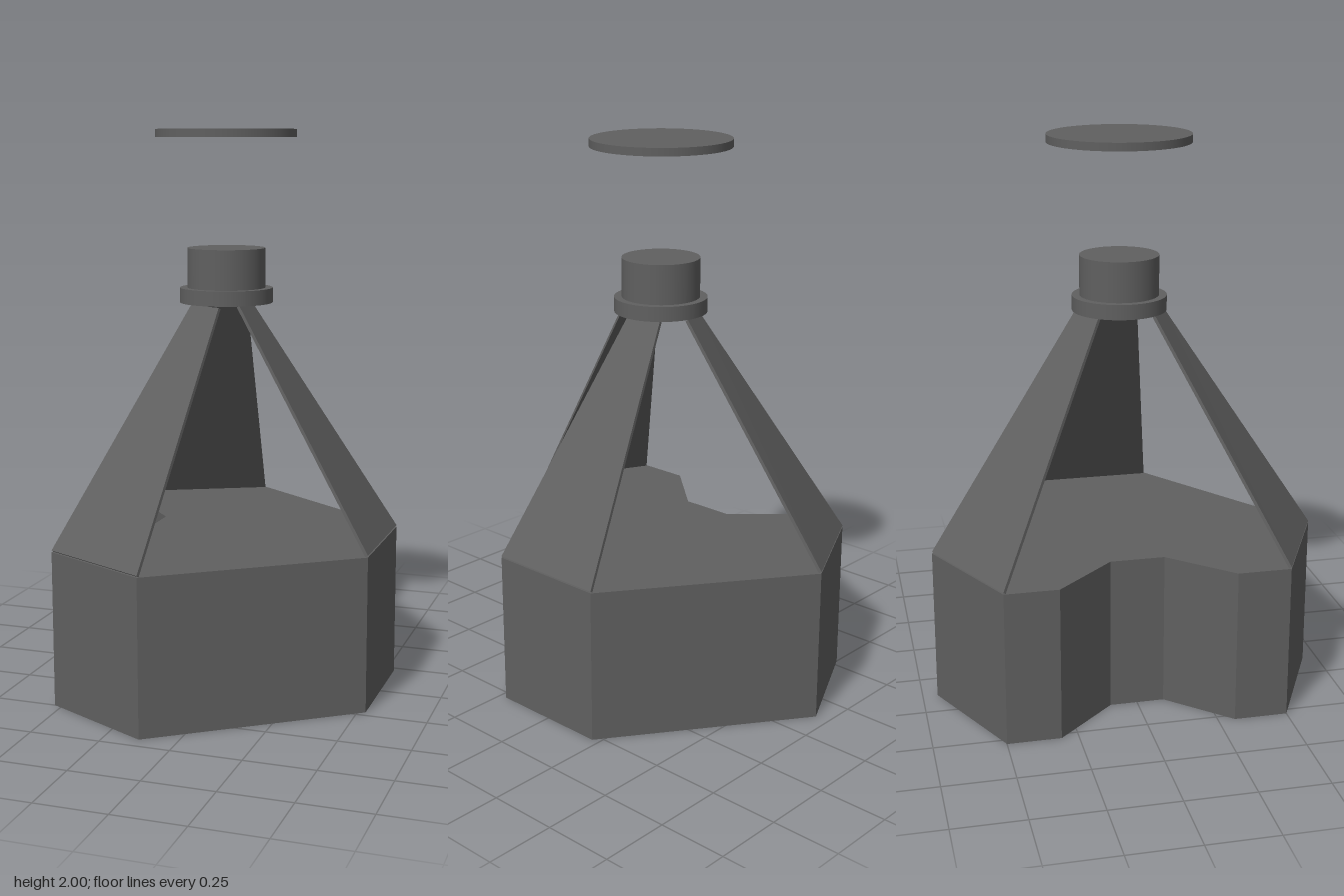
import * as THREE from 'three';

const material = new THREE.MeshStandardMaterial({ color: 0x606060, flatShading: true });
const smooth = new THREE.MeshStandardMaterial({ color: 0x606060 });

// Thin slab from an outer quad (bottom a, b; top c, d; seen from outside counter-clockwise)
function slab(corners, thickness) {
  const outer = corners.map((p) => new THREE.Vector3(...p));
  const normal = outer[1].clone().sub(outer[0]).cross(outer[3].clone().sub(outer[0])).normalize();
  const inner = outer.map((p) => p.clone().addScaledVector(normal, -thickness));
  const index = [0, 1, 2, 0, 2, 3, 4, 6, 5, 4, 7, 6];
  for (let i = 0; i < 4; i++) {
    const j = (i + 1) % 4;
    index.push(i, i + 4, j + 4, i, j + 4, j);
  }
  const geometry = new THREE.BufferGeometry().setFromPoints([...outer, ...inner]);
  geometry.setIndex(index);
  const flat = geometry.toNonIndexed();
  flat.computeVertexNormals();
  return flat;
}

export function createModel() {
  const group = new THREE.Group();
  const add = (name, geometry, mat = material) => {
    const mesh = new THREE.Mesh(geometry, mat);
    mesh.name = name;
    group.add(mesh);
    return mesh;
  };

  // Faceted base with a notch on the right side, half outline mirrored in z
  const half = [[0.528, 0.222], [-0.13, 0.697], [-0.528, 0.5], [-0.528, 0.31], [-0.335, 0.097]];
  const outline = [...half.map(([x, z]) => [x, -z]), ...half.slice().reverse()];
  const shape = new THREE.Shape(outline.map(([x, z]) => new THREE.Vector2(x, -z)));
  const base = new THREE.ExtrudeGeometry(shape, { depth: 0.557, bevelEnabled: false });
  base.rotateX(-Math.PI / 2);
  add('base', base);

  // Three tapering panels leaning in from the base edges to the collar
  const low = 0.563, high = 1.387, thickness = 0.011;
  add('leftPanel', slab([
    [0.528, low, 0.222], [0.528, low, -0.222], [0.015, high, -0.073], [0.015, high, 0.073],
  ], thickness));
  add('frontPanel', slab([
    [-0.528, low, 0.5], [-0.13, low, 0.697], [-0.033, high, 0.156], [-0.157, high, 0.098],
  ], thickness));
  add('backPanel', slab([
    [-0.13, low, -0.697], [-0.528, low, -0.5], [-0.157, high, -0.1], [-0.033, high, -0.158],
  ], thickness));

  // Collar, neck and the disc floating above
  const rounds = [
    ['collar', 0.166, 1.391, 1.444],
    ['neck', 0.139, 1.444, 1.585],
    ['floatingDisc', 0.249, 1.972, 2],
  ];
  for (const [name, radius, bottom, top] of rounds) {
    const geometry = new THREE.CylinderGeometry(radius, radius, top - bottom, 64);
    add(name, geometry, smooth).position.set(-0.06, (bottom + top) / 2, -0.006);
  }
  return group;
}
